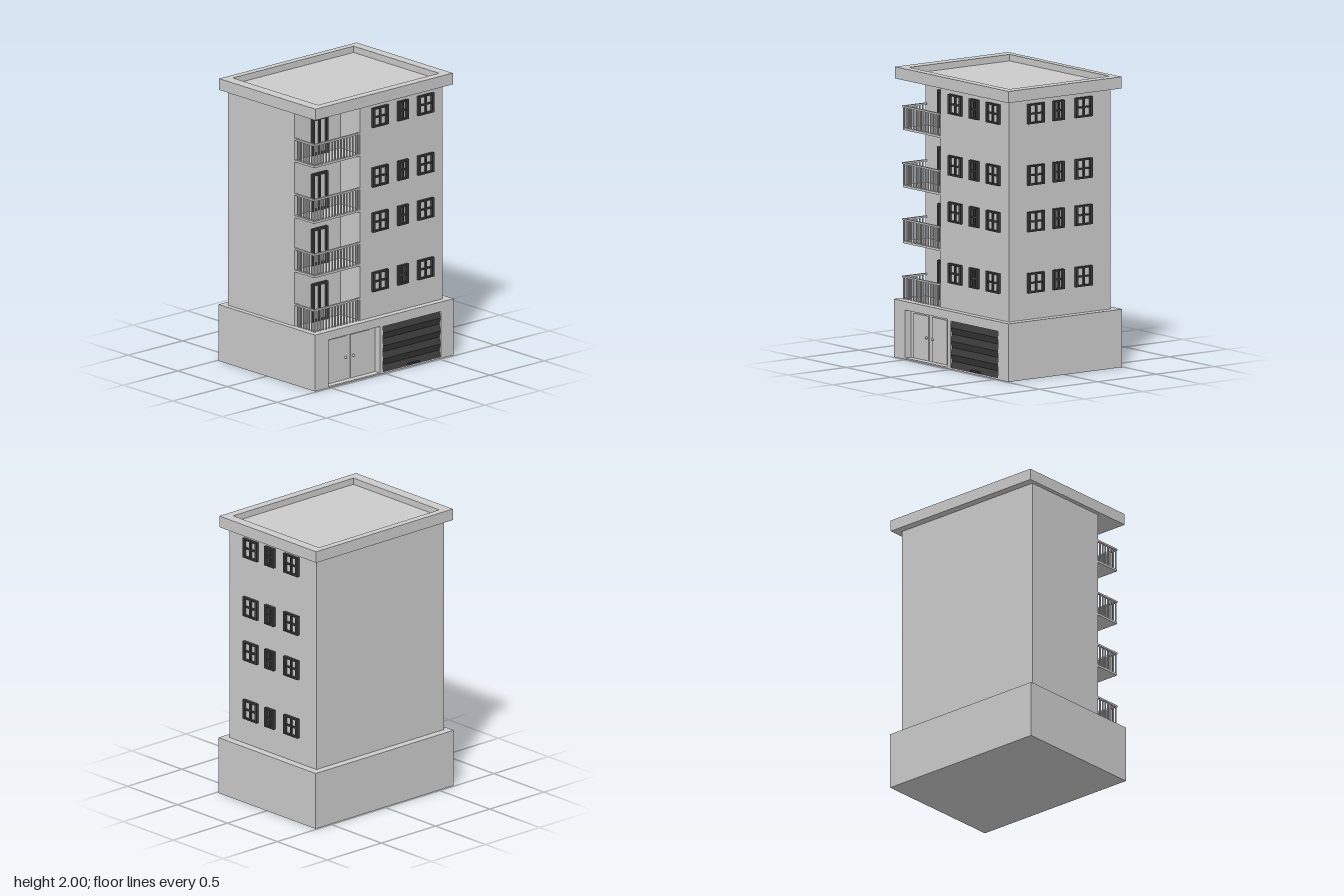
import * as THREE from 'three';

const grey = new THREE.MeshStandardMaterial({ color: 0xcccccc });
const dark = new THREE.MeshStandardMaterial({ color: 0x3c3c3c });

// Box given by its lower and upper corners
function box(parent, name, [x0, y0, z0], [x1, y1, z1], material = grey) {
  const mesh = new THREE.Mesh(new THREE.BoxGeometry(x1 - x0, y1 - y0, z1 - z0), material);
  mesh.position.set((x0 + x1) / 2, (y0 + y1) / 2, (z0 + z1) / 2);
  mesh.name = name;
  parent.add(mesh);
  return mesh;
}

function group(parent, name) {
  const g = new THREE.Group();
  g.name = name;
  parent.add(g);
  return g;
}

// Closed outline from corner points
const outline = (points, Type = THREE.Shape) => new Type(points.map(([x, y]) => new THREE.Vector2(x, y)));
const rect = (x0, y0, x1, y1, Type) => outline([[x0, y0], [x1, y0], [x1, y1], [x0, y1]], Type);

function extrude(parent, name, shape, depth) {
  const geometry = new THREE.ExtrudeGeometry(shape, { depth, bevelEnabled: false });
  const mesh = new THREE.Mesh(geometry, grey);
  mesh.name = name;
  parent.add(mesh);
  return mesh;
}

// Framed window in its own plane, standing on y = 0 with its back at z = 0
function makeWindow(w, h, mullion) {
  const g = new THREE.Group();
  g.name = 'window';
  const side = 0.018, rail = 0.011, d = 0.022, a = w / 2;
  box(g, 'windowPane', [-a + side, rail, 0], [a - side, h - rail, 0.004]);
  for (const s of [-1, 1]) {
    const c = s * (a - side / 2);
    box(g, 'windowStile', [c - side / 2, 0, 0], [c + side / 2, h, d], dark);
  }
  for (const y of [0, h - rail]) box(g, 'windowRail', [-a + side, y, 0], [a - side, y + rail, d], dark);
  box(g, 'windowMullion', [-mullion / 2, rail, 0], [mullion / 2, h - rail, d * 0.8], dark);
  box(g, 'windowCrossbar', [-a + side, h / 2 - mullion / 2, 0], [a - side, h / 2 + mullion / 2, d * 0.75], dark);
  return g;
}

function addBase(model) {
  const base = group(model, 'groundFloor');
  box(base, 'baseBlock', [-0.637, 0, -0.49], [0.637, 0.4, 0.435]);
  // Front wall with the entrance and garage openings
  const wall = rect(-0.637, 0, 0.637, 0.4);
  wall.holes.push(rect(-0.513, 0.01, -0.04, 0.34, THREE.Path), rect(-0.01, 0.01, 0.52, 0.333, THREE.Path));
  extrude(base, 'baseFrontWall', wall, 0.05).position.z = 0.435;

  // Entrance double door
  const entrance = group(base, 'entrance');
  for (const [x0, x1, knobX] of [[-0.472, -0.305, -0.322], [-0.27, -0.103, -0.253]]) {
    box(entrance, 'entranceDoor', [x0, 0.012, 0.434], [x1, 0.32, 0.442]);
    const knob = new THREE.Mesh(new THREE.SphereGeometry(0.009, 12, 8), grey);
    knob.name = 'doorKnob';
    knob.position.set(knobX, 0.17, 0.45);
    entrance.add(knob);
  }

  // Ribbed garage door: a zigzag profile drawn in (z, y) and swept along x
  const profile = [[0.436, 0.01]];
  const ribs = 7, bottom = 0.01, top = 0.333;
  for (let i = 0; i <= ribs; i++) {
    profile.push([i % 2 ? 0.468 : 0.483, bottom + ((top - bottom) * i) / ribs]);
  }
  // Upward slopes alternate with downward ones, starting with an upward slope
  profile.push([0.436, top]);
  const door = extrude(base, 'garageDoor', outline(profile.map(([z, y]) => [-z, y])), 0.53);
  door.material = dark;
  door.rotation.y = Math.PI / 2;
  door.position.x = -0.01;
  box(base, 'garageHandle', [0.218, 0.016, 0.475], [0.32, 0.026, 0.491], dark);
}

function addTower(model) {
  // L-shaped plan leaves the front corner open for the balconies
  const plan = outline([[-0.6, 0.435], [-0.6, -0.24], [-0.18, -0.24], [-0.18, -0.437], [0.58, -0.437], [0.58, 0.435]]);
  const tower = extrude(model, 'tower', plan, 1.52);
  tower.rotation.x = -Math.PI / 2;
  tower.position.y = 0.4;

  // Roof slab with a raised rim
  box(model, 'roofSlab', [-0.63, 1.92, -0.49], [0.632, 1.955, 0.481]);
  const rim = rect(-0.63, -0.481, 0.632, 0.49);
  rim.holes.push(rect(-0.55, -0.42, 0.56, 0.44, THREE.Path));
  const parapet = extrude(model, 'parapet', rim, 0.045);
  parapet.rotation.x = -Math.PI / 2;
  parapet.position.y = 1.955;
}

function addWindows(model) {
  const windows = group(model, 'windows');
  [0.583, 1.005, 1.325, 1.748].forEach((y, row) => {
    // Front wall
    [[-0.004, 0.14], [0.205, 0.092], [0.414, 0.14]].forEach(([x, w], i) => {
      const win = makeWindow(w, 0.137, row === 0 && i === 1 ? 0.018 : 0.011);
      win.position.set(x, y, 0.436);
      windows.add(win);
    });
    // Side wall
    [[0.213, 0.14], [0.02, 0.09], [-0.195, 0.14]].forEach(([z, w]) => {
      const win = makeWindow(w, 0.137, 0.011);
      win.rotation.y = Math.PI / 2;
      win.position.set(0.58, y, z);
      windows.add(win);
    });
  });
}

function addBalcony(model, floor, railTop, doorTop, hasSlab) {
  const g = group(model, 'balcony');
  const deck = hasSlab ? floor + 0.015 : floor;
  if (hasSlab) box(g, 'balconySlab', [-0.6, floor, 0.235], [-0.175, deck, 0.436]);

  // Railing along the front and the open side
  const r = 0.006;
  box(g, 'frontHandrail', [-0.602, railTop - 0.012, 0.424], [-0.18, railTop, 0.44]);
  box(g, 'sideHandrail', [-0.602, railTop - 0.012, 0.238], [-0.586, railTop, 0.424]);
  const barGeometry = new THREE.CylinderGeometry(r, r, railTop - 0.01 - deck, 8);
  const addBar = (x, z) => {
    const bar = new THREE.Mesh(barGeometry, grey);
    bar.name = 'baluster';
    bar.position.set(x, (deck + railTop - 0.01) / 2, z);
    g.add(bar);
  };
  for (let i = 0; i < 16; i++) addBar(-0.593 + i * 0.027, 0.432);
  for (let i = 1; i < 7; i++) addBar(-0.593, 0.432 - i * 0.027);

  // Glazed double door on the recessed wall
  const z = 0.24, d = 0.02;
  box(g, 'balconyDoorPane', [-0.435, deck, z], [-0.325, doorTop - 0.015, z + 0.005]);
  for (const x of [-0.45, -0.328]) box(g, 'balconyDoorJamb', [x, deck, z], [x + 0.018, doorTop, z + d], dark);
  box(g, 'balconyDoorHead', [-0.432, doorTop - 0.016, z], [-0.328, doorTop, z + d], dark);
  box(g, 'balconyDoorSill', [-0.432, deck, z], [-0.328, deck + 0.014, z + d * 0.8], dark);
  box(g, 'balconyDoorMullion', [-0.389, deck, z], [-0.371, doorTop - 0.016, z + d * 0.8], dark);
}

export function createModel() {
  const model = new THREE.Group();
  model.name = 'apartmentBuilding';
  addBase(model);
  addTower(model);
  addWindows(model);
  [0.4, 0.785, 1.17, 1.565].forEach((floor, i) => {
    addBalcony(model, floor, [0.56, 0.955, 1.342, 1.733][i], [0.67, 1.06, 1.45, 1.842][i], i > 0);
  });
  return model;
}
